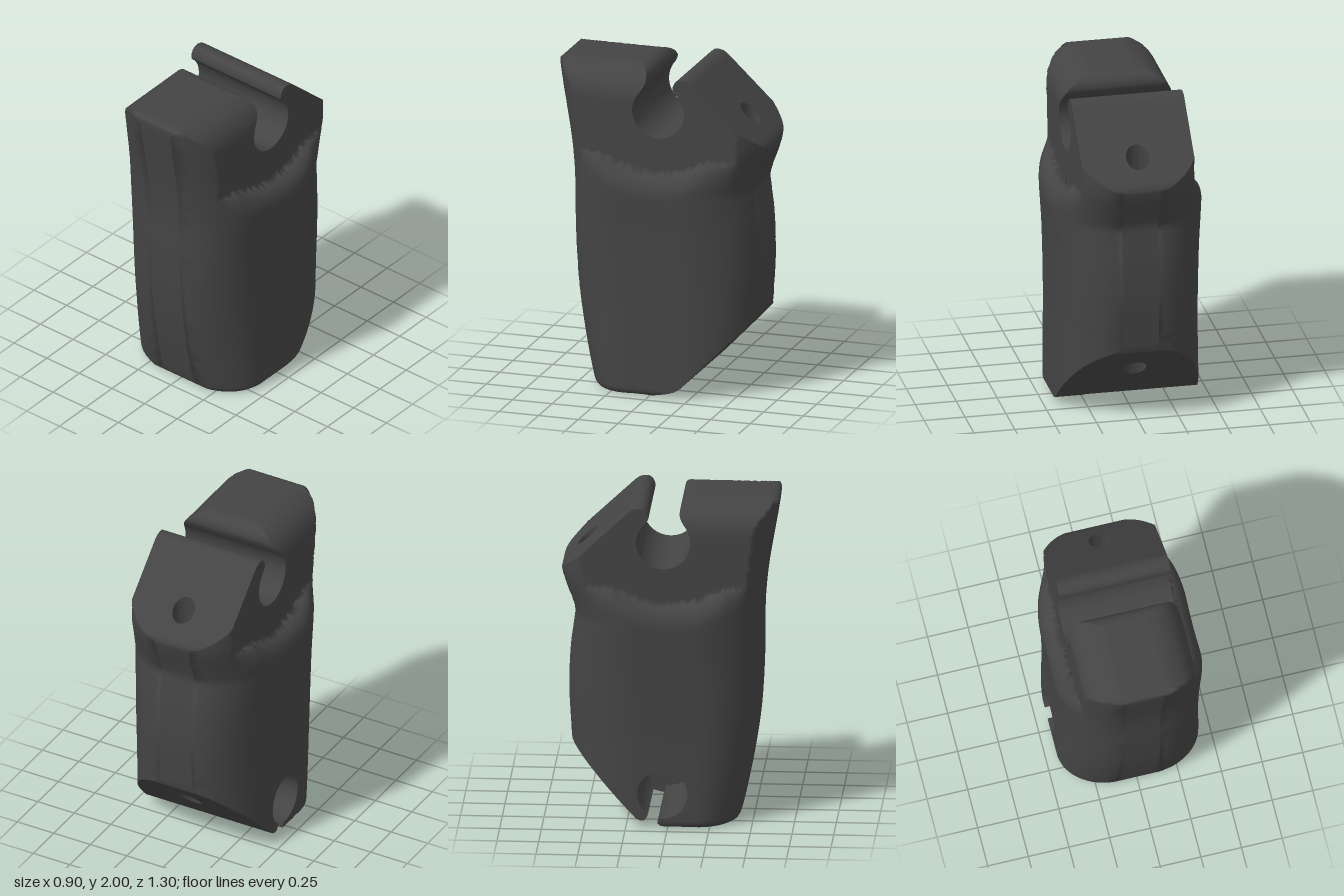
import * as THREE from 'three';
import { toCreasedNormals } from 'three/addons/utils/BufferGeometryUtils.js';

const V = (z, y) => new THREE.Vector2(z, y); // side profile points are (z, y)
const HEAD = 0.343, SLOT_END = 0.25;

// Smooth curve through [y, value] pairs
function curve(pairs) {
  const c = new THREE.CubicInterpolant(pairs.map(p => p[0]), pairs.map(p => p[1]), 1);
  return y => c.evaluate(y)[0];
}
const frontZ = curve([[0, 0.415], [0.05, 0.43], [0.2, 0.465], [0.4, 0.502], [0.6, 0.53], [0.8, 0.545],
  [1, 0.552], [1.3, 0.556], [1.5, 0.575], [1.7, 0.608], [1.9, 0.642], [2, 0.655]]);
const backRaw = curve([[0, -0.56], [0.3, -0.58], [0.5, -0.592], [0.8, -0.607], [1.05, -0.597], [1.2, -0.578],
  [1.27, -0.571], [1.34, -0.59], [1.5, -0.645], [1.56, -0.655], [1.62, -0.655], [2, -0.655]]);
const backZ = y => Math.max(-0.655, backRaw(y));
const bodyWidth = curve([[0, 0.432], [0.1, 0.432], [0.6, 0.425], [1, 0.433], [1.3, 0.45], [1.6, 0.45], [2, 0.45]]);
const clamp01 = t => Math.min(1, Math.max(0, t));
const round = t => Math.sqrt(1 - clamp01(t) ** 2);

// Half width of the solid at a point of the side profile
function halfWidth(z, y) {
  const end = z > 0 ? frontZ(y) : -backZ(y);
  let w = 0.11 + (bodyWidth(y) - 0.11) * round((Math.abs(z) - 0.17) / (end - 0.17));
  // shoulder narrowing to the head
  const seam = Math.min(1.475, 1.38 + 0.85 * z * z);
  if (w > HEAD) w = HEAD + (w - HEAD) * round((y - seam) / 0.15 + 1);
  // rounded top edges of the front block, and bottom fillet
  if (z > -0.03 && y > 1.8) w = Math.min(w, 0.14 + (HEAD - 0.14) * round((y - 1.8) / 0.2));
  if (y < 0.04) w -= 0.04 * (1 - round((0.04 - y) / 0.04));
  return w;
}

// Splits a polyline into short steps
function densify(pts, step = 0.025) {
  const out = [pts[0]];
  for (let i = 1; i < pts.length; i++) {
    const n = Math.ceil(pts[i - 1].distanceTo(pts[i]) / step);
    for (let k = 1; k <= n; k++) out.push(pts[i - 1].clone().lerp(pts[i], k / n));
  }
  return out;
}

// Arc in degrees around a centre
function arc(z, y, r, a0, a1, n = 40) {
  return Array.from({ length: n + 1 }, (_, i) => {
    const a = THREE.MathUtils.degToRad(a0 + (a1 - a0) * i / n);
    return V(z + r * Math.cos(a), y + r * Math.sin(a));
  });
}

function edge(fn, y0, y1, n) {
  return Array.from({ length: n + 1 }, (_, i) => {
    const y = y0 + (y1 - y0) * i / n;
    return V(fn(y), y);
  });
}

function geometry(pos, normals) {
  const g = new THREE.BufferGeometry();
  g.setAttribute('position', new THREE.Float32BufferAttribute(pos, 3));
  if (normals) g.setAttribute('normal', new THREE.Float32BufferAttribute(normals, 3));
  return g;
}

// Curved flank: the outline filled with small triangles and pushed out to the half width
function flank(outline, side) {
  const pos = [], nor = [], e = 0.004;
  const put = p => {
    pos.push(side * halfWidth(p.x, p.y), p.y, p.x);
    const n = new THREE.Vector3(side,
      (halfWidth(p.x, p.y - e) - halfWidth(p.x, p.y + e)) / (2 * e),
      (halfWidth(p.x - e, p.y) - halfWidth(p.x + e, p.y)) / (2 * e)).normalize();
    nor.push(n.x, n.y, n.z);
  };
  const split = (a, b, c) => {
    const ab = a.distanceTo(b), bc = b.distanceTo(c), ca = c.distanceTo(a);
    const m = Math.max(ab, bc, ca);
    if (m < 0.032) return (side < 0 ? [a, b, c] : [a, c, b]).forEach(put);
    if (m === bc) return split(b, c, a);
    if (m === ca) return split(c, a, b);
    const mid = a.clone().add(b).multiplyScalar(0.5);
    split(a, mid, c);
    split(mid, b, c);
  };
  for (const [i, j, k] of THREE.ShapeUtils.triangulateShape(outline, [])) split(outline[i], outline[j], outline[k]);
  return geometry(pos, nor);
}

// Wall running across x along a stretch of the outline
function wall(pts, low, high) {
  const pos = [];
  for (let i = 0; i < pts.length - 1; i++) {
    const p = pts[i], q = pts[i + 1];
    const a = [low(p), p.y, p.x], b = [high(p), p.y, p.x], c = [high(q), q.y, q.x], d = [low(q), q.y, q.x];
    pos.push(...a, ...b, ...c, ...a, ...c, ...d);
  }
  return toCreasedNormals(geometry(pos), 0.6);
}
const left = p => halfWidth(p.x, p.y), right = p => -left(p);

// Flat slope with an oval hole; ring() gives points on the hole's rim
function slope(pts, holeZ) {
  const p = pts[0], q = pts[pts.length - 1];
  const d = new THREE.Vector3(0, q.y - p.y, q.x - p.x).normalize();
  const x = new THREE.Vector3(1, 0, 0);
  const m = new THREE.Matrix4().makeBasis(x, d, x.clone().cross(d)).setPosition(0, p.y, p.x);
  const s = (holeZ - p.x) / d.z;
  const shape = new THREE.Shape([
    ...pts.map(t => V(left(t), t.distanceTo(p))),
    ...[...pts].reverse().map(t => V(right(t), t.distanceTo(p)))]);
  shape.holes.push(new THREE.Path().absellipse(0, s, 0.07, 0.084, 0, Math.PI * 2, true));
  const ring = a => new THREE.Vector3(0.07 * Math.cos(a), s - Math.sign(d.z) * -0.084 * Math.sin(a), 0).applyMatrix4(m);
  return { geo: new THREE.ShapeGeometry(shape, 24).applyMatrix4(m), ring };
}

export function createModel() {
  const group = new THREE.Group();
  const mat = new THREE.MeshStandardMaterial({ color: 0x444444 });
  const matBoth = new THREE.MeshStandardMaterial({ color: 0x444444, side: THREE.DoubleSide });
  const add = (name, geo, material = mat) => {
    const mesh = new THREE.Mesh(geo, material);
    mesh.name = name;
    group.add(mesh);
  };

  // Side outline, in stretches, running up the front and down the back
  const front = densify([
    V(0, 0), V(0.38, 0), V(0.405, 0.008), V(0.42, 0.024), ...edge(frontZ, 0.05, 1.955, 60),
    V(0.648, 1.98), V(0.635, 1.994), V(0.61, 2),
    V(0.14, 2), V(0.11, 1.993), V(0.083, 1.975), V(0.067, 1.95), V(0.063, 1.92), V(0.075, 1.89),
    ...arc(-0.03, 1.755, 0.163, 42, -231),
    V(-0.121, 1.9), V(-0.123, 1.925), V(-0.135, 1.95), V(-0.155, 1.965), V(-0.185, 1.968), V(-0.215, 1.96), V(-0.24, 1.942)]);
  const upperSlope = densify([V(-0.24, 1.942), V(-0.57, 1.63)]);
  const back = densify([V(-0.57, 1.63), V(-0.62, 1.583), V(-0.643, 1.555), ...edge(backZ, 1.53, 0.5, 42), V(-0.585, 0.47)]);
  const lowerSlope = densify([V(-0.585, 0.47), V(-0.19, 0.06)]);
  const bridge = densify([V(-0.19, 0.06), V(-0.155, 0.04), V(-0.11, 0.026), V(0, 0)]);
  const slot = densify([V(-0.19, 0.06), V(-0.165, 0.047), V(-0.14, 0.048), V(-0.125, 0.063),
    ...arc(-0.03, 0.21, 0.15, 235, -97), V(-0.058, 0.045), V(-0.058, 0.027), V(-0.045, 0.014), V(0, 0)]);

  const join = (...parts) => parts.flatMap(p => p.slice(0, -1));
  add('leftFlank', flank(join(front, upperSlope, back, lowerSlope, bridge), 1));
  add('rightFlank', flank(join(front, upperSlope, back, lowerSlope, slot), -1));
  add('frontAndTopHook', wall(front, right, left));
  add('backWall', wall(back, right, left));

  // Lower slot, open on the right side and blind toward the left
  add('lowerSlotWall', wall(slot, right, () => SLOT_END));
  add('lowerSlotBridge', wall(bridge, () => SLOT_END, left));
  const end = new THREE.ShapeGeometry(new THREE.Shape([...slot.slice(0, -1), ...[...bridge].reverse().slice(0, -1)]));
  end.applyMatrix4(new THREE.Matrix4().makeBasis(
    new THREE.Vector3(0, 0, 1), new THREE.Vector3(0, 1, 0), new THREE.Vector3(-1, 0, 0)).setPosition(SLOT_END, 0, 0));
  add('lowerSlotEnd', end, matBoth);

  // Slopes joined by a through hole
  const top = slope(upperSlope, -0.5), bottom = slope(lowerSlope, -0.42);
  add('upperSlope', top.geo);
  add('lowerSlope', bottom.geo);
  const pos = [];
  for (let i = 0; i < 48; i++) {
    const a = i / 24 * Math.PI, b = (i + 1) / 24 * Math.PI;
    const [p, q, r, s] = [top.ring(a), top.ring(b), bottom.ring(b), bottom.ring(a)];
    for (const v of [p, q, r, p, r, s]) pos.push(v.x, v.y, v.z);
  }
  add('throughHole', toCreasedNormals(geometry(pos), 0.6), matBoth);
  return group;
}
